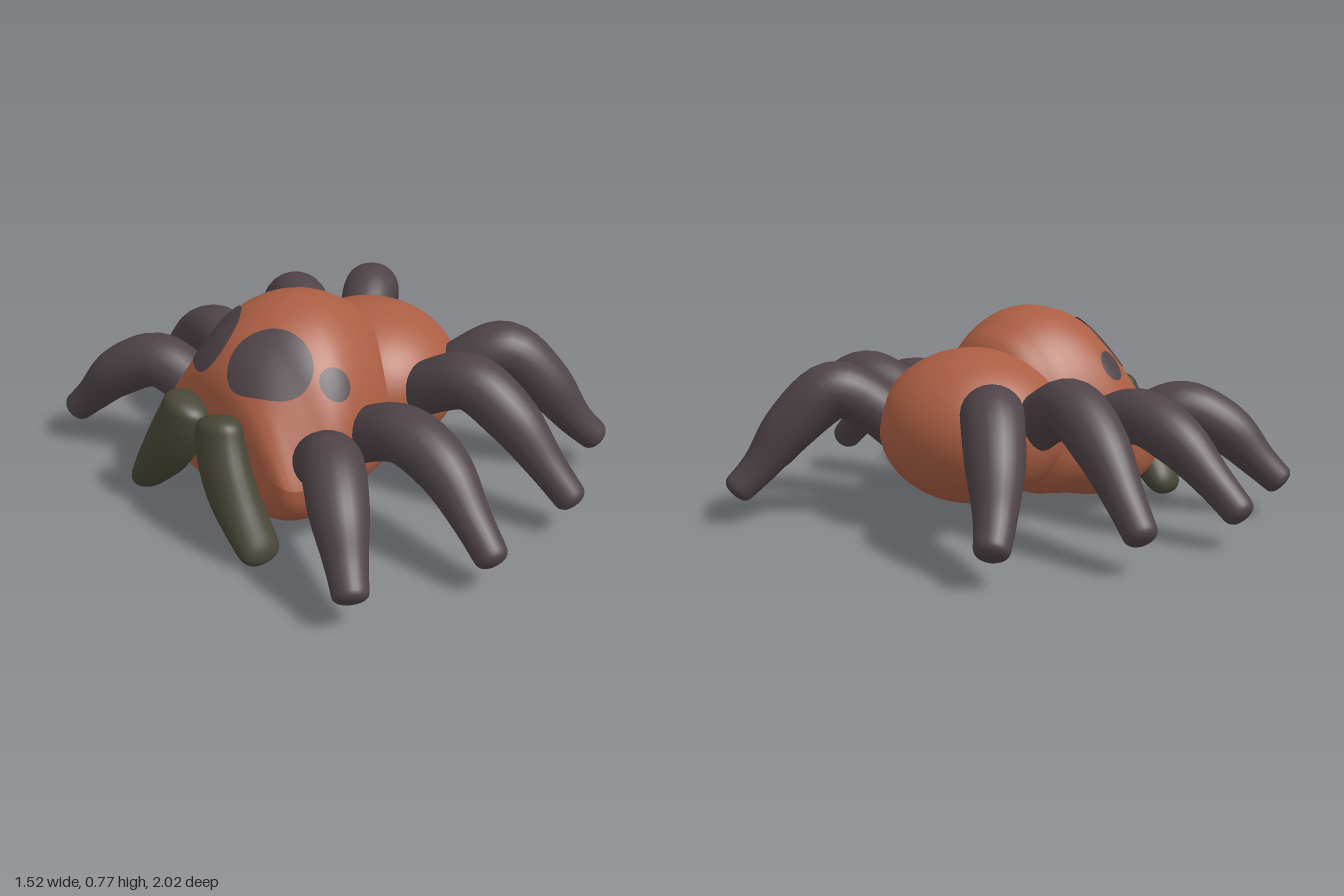
import * as THREE from 'three';
import { mergeVertices } from 'three/addons/utils/BufferGeometryUtils.js';

const V = (x, y, z) => new THREE.Vector3(x, y, z);

// Smooth closed-ring surface: point(u, angle) for u from 0 to 1
function loft(rings, sides, point) {
  const pos = [], idx = [];
  for (let i = 0; i <= rings; i++) {
    for (let j = 0; j < sides; j++) {
      pos.push(...point(i / rings, (j / sides) * Math.PI * 2).toArray());
      if (i === rings) continue;
      const a = i * sides + j, b = i * sides + (j + 1) % sides;
      idx.push(a, b, a + sides, b, b + sides, a + sides);
    }
  }
  return smooth(pos, idx);
}

function smooth(pos, idx) {
  let g = new THREE.BufferGeometry();
  g.setAttribute('position', new THREE.Float32BufferAttribute(pos, 3));
  g.setIndex(idx);
  g = mergeVertices(g, 1e-5);
  g.computeVertexNormals();
  return g;
}

// Limb with rounded ends; widths run along ref, depths across it
function limb(points, widths, depths, ref, cap) {
  const path = new THREE.CatmullRomCurve3(points);
  const size = new THREE.CatmullRomCurve3(widths.map((w, i) => V(w, depths[i], 0)), false, 'catmullrom');
  return loft(48, 24, (u, a) => {
    const t = (1 - Math.cos(u * Math.PI)) / 2;
    const s = Math.max(0, 1 - Math.min(t, 1 - t) / cap);
    const round = Math.pow(Math.max(0, 1 - s ** 2.5), 1 / 2.5);
    const r = size.getPoint(t).multiplyScalar(round);
    const T = path.getTangent(t);
    const B = T.clone().cross(ref).normalize();
    const N = B.clone().cross(T);
    return path.getPoint(t).addScaledVector(N, r.x * Math.cos(a)).addScaledVector(B, r.y * Math.sin(a));
  });
}

// Head stations from face to neck: x, top, bottom, half width
const stations = [
  [-0.615, 0.34, 0.34, 0], [-0.61, 0.44, 0.19, 0.24], [-0.597, 0.51, 0.12, 0.345], [-0.57, 0.57, 0.06, 0.385],
  [-0.52, 0.635, 0.015, 0.405], [-0.45, 0.69, -0.004, 0.422], [-0.37, 0.732, -0.006, 0.43],
  [-0.25, 0.757, 0.02, 0.395], [-0.15, 0.744, 0.034, 0.36], [-0.06, 0.702, 0.055, 0.315],
  [0.03, 0.625, 0.14, 0.21], [0.09, 0.4, 0.3, 0],
];
const heights = new THREE.CatmullRomCurve3(stations.map(s => V(s[0], s[1], s[2])), false, 'catmullrom');
const halfWidths = new THREE.CatmullRomCurve3(stations.map(s => V(s[3], 0, 0)), false, 'catmullrom');

// The dome narrows towards the face, leaving fuller cheeks below it
function section(t) {
  const h = heights.getPoint(t);
  return {
    x: h.x, top: h.y, bottom: h.z, mid: h.z + (h.y - h.z) * 0.36,
    half: Math.max(0, halfWidths.getPoint(t).x),
    power: 1.85 - 0.75 * THREE.MathUtils.smoothstep(h.x, -0.54, -0.26),
  };
}

function sectionAt(x) {
  let lo = 0, hi = 1;
  for (let i = 0; i < 30; i++) {
    const m = (lo + hi) / 2;
    if (heights.getPoint(m).x < x) lo = m; else hi = m;
  }
  return section(lo);
}

// Dome above, two rounded cheeks with a groove between them below
function headPoint(t, a) {
  const s = section(t), c = Math.cos(a), z = s.half * Math.sin(a);
  if (c >= 0) return V(s.x, s.mid + (s.top - s.mid) * c ** s.power, z);
  const depth = (s.mid - s.bottom) * Math.pow(-c, 0.75);
  return V(s.x, s.mid - depth * (1 - 0.17 * Math.exp(-((z / 0.12) ** 2))), z);
}

// Thin eye disc laid on the head; place(u, v) gives a surface point
function eyePatch(place) {
  const rings = 12, sides = 40, pos = [], idx = [], centre = V(-0.28, 0.38, 0);
  for (let i = 0; i <= rings; i++) {
    for (let j = 0; j < sides; j++) {
      const a = (j / sides) * Math.PI * 2, r = i / rings;
      const p = place(r * Math.cos(a), r * Math.sin(a)).sub(centre).multiplyScalar(1.014).add(centre);
      pos.push(...p.toArray());
      if (i === rings) continue;
      const k = i * sides + j, l = i * sides + (j + 1) % sides;
      idx.push(k, k + sides, l, l, k + sides, l + sides);
    }
  }
  return smooth(pos, idx);
}

export function createModel() {
  const group = new THREE.Group();
  const rust = new THREE.MeshStandardMaterial({ name: 'rust body', color: 0xab5e43 });
  const dark = new THREE.MeshStandardMaterial({ name: 'dark legs and eyes', color: 0x4e4348, side: THREE.DoubleSide });
  const olive = new THREE.MeshStandardMaterial({ name: 'olive fangs', color: 0x484637 });
  const add = (name, geometry, material) => {
    const mesh = new THREE.Mesh(geometry, material);
    mesh.name = name;
    group.add(mesh);
    return mesh;
  };

  // Body
  add('head', loft(88, 64, headPoint), rust);
  const abdomen = add('abdomen', new THREE.SphereGeometry(1, 48, 32), rust);
  abdomen.scale.set(0.352, 0.286, 0.348);
  abdomen.position.set(0.09, 0.343, 0);

  // Leg centre lines, front to back, from body to foot
  const legs = [
    [[-0.41, 0.23, 0.27], [-0.45, 0.34, 0.42], [-0.505, 0.385, 0.53], [-0.59, 0.31, 0.67], [-0.65, 0.19, 0.78], [-0.695, 0.105, 0.86]],
    [[-0.22, 0.25, 0.24], [-0.21, 0.36, 0.41], [-0.195, 0.4, 0.55], [-0.18, 0.345, 0.71], [-0.185, 0.22, 0.86], [-0.19, 0.1, 0.99]],
    [[0.08, 0.32, 0.22], [0.11, 0.43, 0.37], [0.15, 0.475, 0.5], [0.2, 0.385, 0.65], [0.25, 0.23, 0.79], [0.29, 0.105, 0.9]],
    [[0.24, 0.3, 0.19], [0.34, 0.43, 0.3], [0.44, 0.48, 0.385], [0.55, 0.35, 0.49], [0.64, 0.2, 0.565], [0.725, 0.1, 0.62]],
  ];
  const legNames = ['FrontLeg', 'FrontMiddleLeg', 'BackMiddleLeg', 'BackLeg'];
  const legWidths = [0.095, 0.104, 0.108, 0.1, 0.072, 0.058], legDepths = [0.09, 0.1, 0.102, 0.096, 0.068, 0.056];

  for (const side of [1, -1]) {
    const name = side > 0 ? 'left' : 'right';
    legs.forEach((pts, i) => {
      const path = pts.map(p => V(p[0], p[1], p[2] * side));
      const d = path[5].clone().sub(path[0]);
      add(name + legNames[i], limb(path, legWidths, legDepths, V(d.z, 0, -d.x).normalize(), 0.05), dark);
    });

    // Blunt, blade-like fangs spread outward towards their tips
    const fang = [[-0.65, 0.445, 0.09], [-0.665, 0.34, 0.12], [-0.68, 0.22, 0.19], [-0.68, 0.11, 0.28], [-0.67, 0, 0.375]];
    add(name + 'Fang', limb(fang.map(p => V(p[0], p[1], p[2] * side)),
      [0.068, 0.08, 0.083, 0.083, 0.078], [0.095, 0.105, 0.1, 0.075, 0.045], V(1, 0, 0), 0.12), olive);

    // Large slanted eye on top and small round eye on the side
    add(name + 'LargeEye', eyePatch((u, v) => {
      const x = -0.472 + 0.15 * 0.62 * u - 0.088 * 0.78 * v;
      const z = 0.155 + 0.15 * 0.78 * u + 0.088 * 0.62 * v;
      const s = sectionAt(x);
      const c = Math.sqrt(Math.max(0, 1 - (z / s.half) ** 2));
      return V(x, s.mid + (s.top - s.mid) * c ** s.power, z * side);
    }), dark);
    add(name + 'SmallEye', eyePatch((u, v) => {
      const x = -0.322 + 0.055 * u, y = 0.545 + 0.051 * v, s = sectionAt(x);
      const c = ((y - s.mid) / (s.top - s.mid)) ** (1 / s.power);
      return V(x, y, side * s.half * Math.sqrt(1 - c * c));
    }), dark);
  }
  return group;
}
